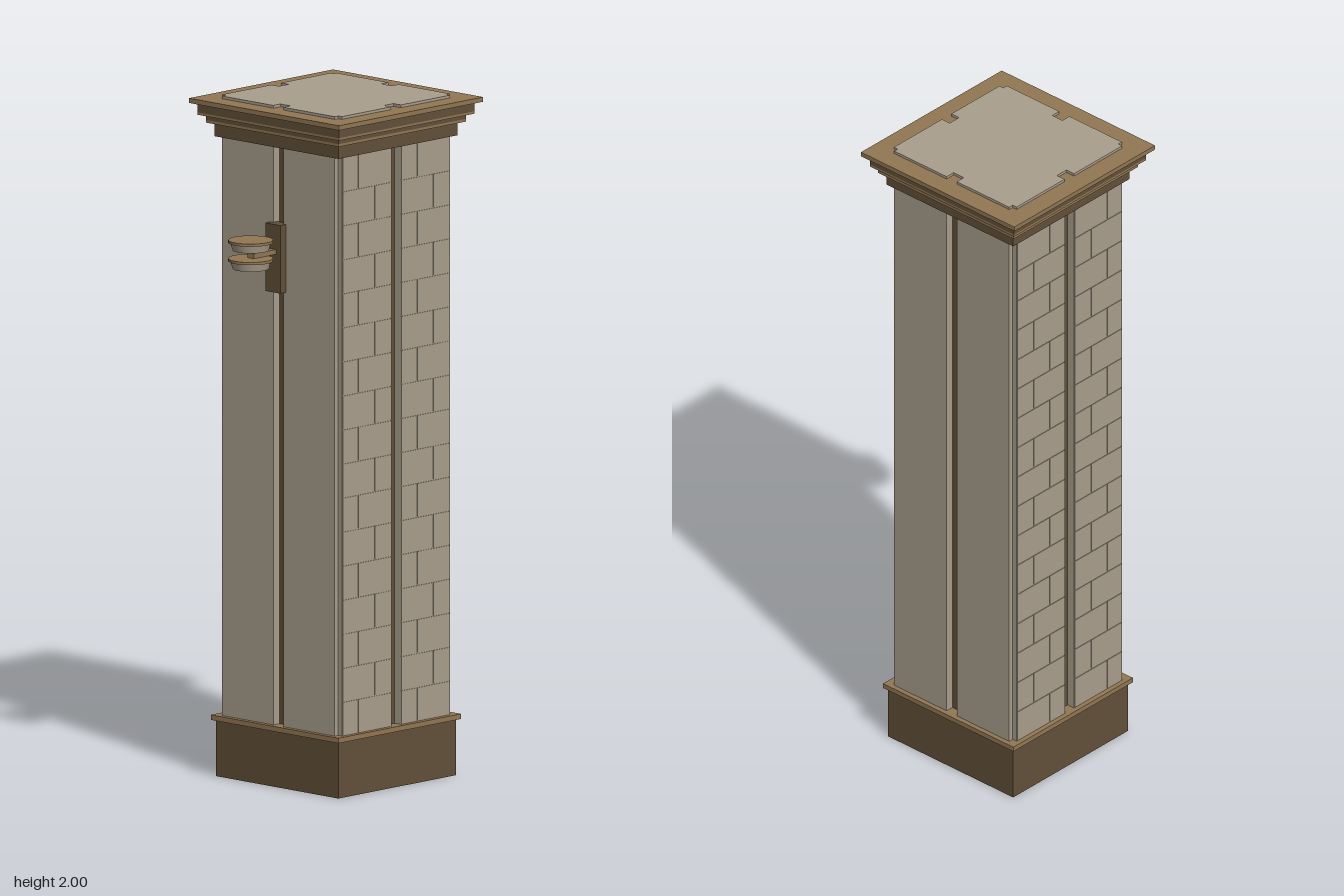
import * as THREE from 'three';

export function createModel() {
  const model = new THREE.Group();
  const paint = (name, color) => {
    const m = new THREE.MeshStandardMaterial({ color });
    m.name = name;
    return m;
  };
  const stone = paint('pale stone', 0xa99e8c);
  const bronze = paint('light brown', 0x927753);
  const dark = paint('dark brown', 0x615038);

  const add = (parent, name, geometry, material, x = 0, y = 0, z = 0) => {
    const mesh = new THREE.Mesh(geometry, material);
    mesh.name = name;
    mesh.position.set(x, y, z);
    parent.add(mesh);
    return mesh;
  };

  // Pillar stands behind the origin to leave room for the lamp
  const pillar = new THREE.Group();
  pillar.name = 'pillar';
  pillar.position.z = -0.06;
  model.add(pillar);
  const slab = (name, half, y0, y1, material) =>
    add(pillar, name, new THREE.BoxGeometry(half * 2, y1 - y0, half * 2), material, 0, (y0 + y1) / 2, 0);

  // Plinth
  slab('plinth', 0.245, 0, 0.165, dark);
  slab('plinthTrim', 0.255, 0.165, 0.18, bronze);

  // Shaft section: a groove in the middle of each side and a step at each corner
  const side = [[-0.225, 0.24], [-0.02, 0.24], [-0.02, 0.21], [0.02, 0.21], [0.02, 0.24], [0.225, 0.24], [0.225, 0.225]];
  const outline = [];
  for (let k = 0; k < 4; k++) {
    for (const [x, y] of side) {
      outline.push(new THREE.Vector2(x, y).rotateAround(new THREE.Vector2(), -k * Math.PI / 2));
    }
  }
  const shaft = new THREE.ExtrudeGeometry(new THREE.Shape(outline), { depth: 1.82, bevelEnabled: false });
  shaft.rotateX(-Math.PI / 2);
  add(pillar, 'shaft', shaft, stone, 0, 0.18, 0);

  // Dark strips lining the grooves
  for (let k = 0; k < 4; k++) {
    const strip = new THREE.BoxGeometry(0.04, 1.7, 0.006);
    strip.translate(0, 1.03, 0.212);
    add(pillar, 'grooveStrip', strip, dark).rotation.y = k * Math.PI / 2;
  }

  // Shallow bricks on the left and right sides
  const rows = 17, rowHeight = 1.7 / rows, gap = 0.003;
  for (const s of [-1, 1]) {
    for (const [z0, z1] of [[-0.225, -0.02], [0.02, 0.225]]) {
      for (let r = 0; r < rows; r++) {
        const joint = z0 + (z1 - z0) * (r % 2 ? 0.35 : 0.68);
        for (const [a, b] of [[z0, joint], [joint, z1]]) {
          add(pillar, 'brick', new THREE.BoxGeometry(0.004, rowHeight - gap, b - a - gap), stone,
            s * 0.24, 0.18 + (r + 0.5) * rowHeight, (a + b) / 2);
        }
      }
    }
  }

  // Stepped cornice
  slab('corniceBase', 0.248, 1.88, 1.92, dark);
  slab('corniceLowerTrim', 0.265, 1.92, 1.928, bronze);
  slab('corniceLowerStep', 0.265, 1.928, 1.943, dark);
  slab('corniceMiddleTrim', 0.282, 1.943, 1.95, bronze);
  slab('corniceUpperStep', 0.282, 1.95, 1.978, dark);
  slab('corniceTop', 0.3, 1.978, 1.992, bronze);

  // Wall lamp on the front
  const lamp = new THREE.Group();
  lamp.name = 'wallLamp';
  model.add(lamp);
  add(lamp, 'lampPlate', new THREE.BoxGeometry(0.06, 0.2, 0.04), dark, 0, 1.557, 0.183);
  add(lamp, 'lampArm', new THREE.BoxGeometry(0.025, 0.014, 0.1), bronze, 0, 1.577, 0.245);
  for (const y of [1.54, 1.594]) {
    add(lamp, 'lampDish', new THREE.CylinderGeometry(0.058, 0.053, 0.022, 40), stone, 0, y + 0.011, 0.295);
    add(lamp, 'lampLid', new THREE.CylinderGeometry(0.065, 0.065, 0.008, 40), bronze, 0, y + 0.026, 0.295);
  }

  return model;
}
